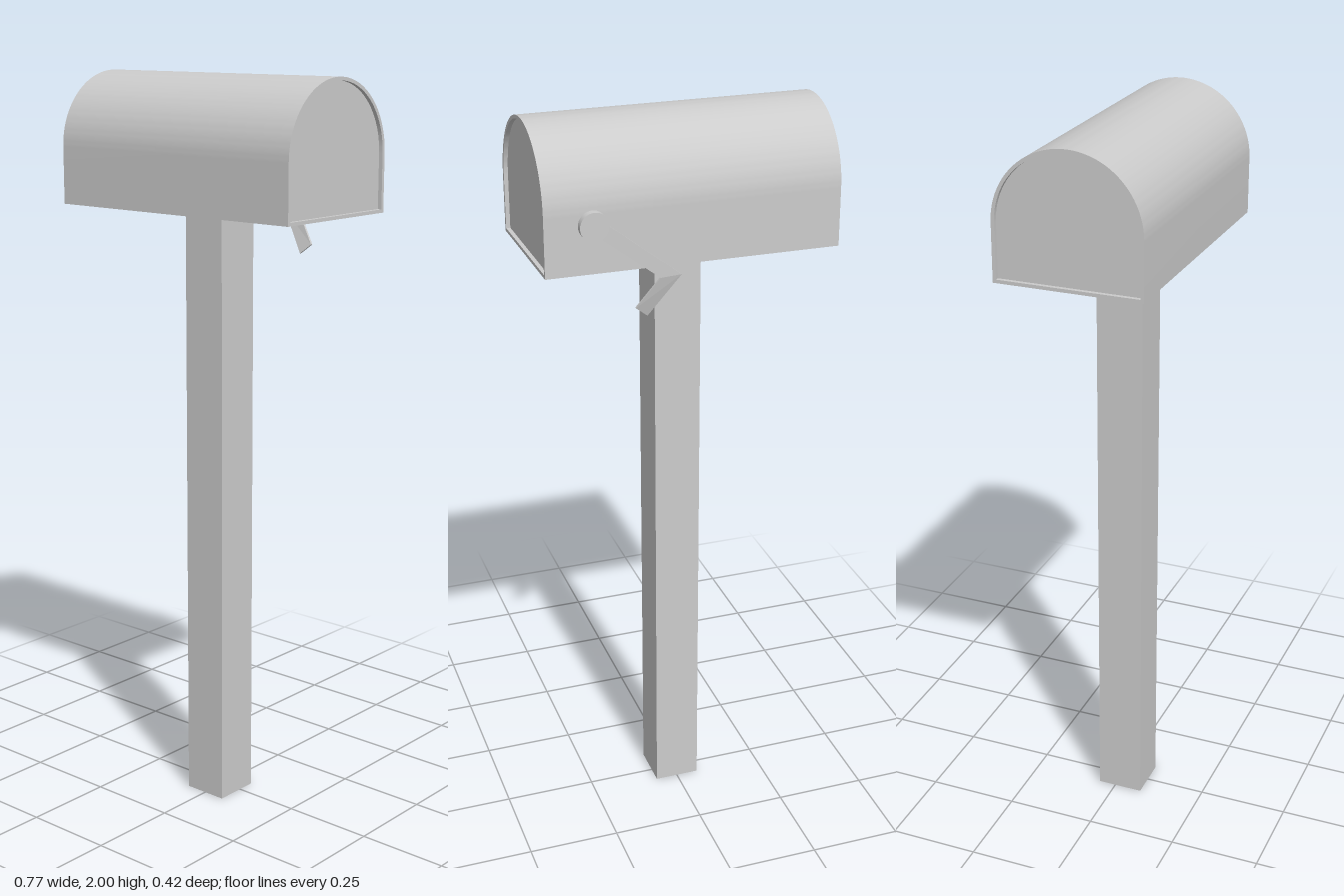
import * as THREE from 'three';
import { toCreasedNormals } from 'three/addons/utils/BufferGeometryUtils.js';

const material = new THREE.MeshStandardMaterial({ color: 0xcccccc });

function addMesh(group, name, geometry, x = 0, y = 0, z = 0) {
  const mesh = new THREE.Mesh(geometry, material);
  mesh.name = name;
  mesh.position.set(x, y, z);
  group.add(mesh);
  return mesh;
}

// Arched outline: flat floor, straight walls, semicircular roof
function arch(Type, radius, bottom, spring) {
  const path = new Type();
  path.moveTo(-radius, bottom);
  path.lineTo(radius, bottom);
  path.lineTo(radius, spring);
  path.absarc(0, spring, radius, 0, Math.PI, false);
  path.closePath();
  return path;
}

// Extrude an outline along x, centred, with a smooth roof and sharp edges
function extrudeAlongX(shape, length) {
  const geometry = new THREE.ExtrudeGeometry(shape, { depth: length, bevelEnabled: false, curveSegments: 40 });
  geometry.translate(0, 0, -length / 2);
  geometry.rotateY(Math.PI / 2);
  return toCreasedNormals(geometry, 0.6);
}

// Thin flat bar: corners [x, y] counter-clockwise, depth z given by a rule
function plate(corners, depthAt, thickness) {
  const shape = new THREE.Shape(corners.map(([x, y]) => new THREE.Vector2(x, y)));
  const geometry = new THREE.ExtrudeGeometry(shape, { depth: thickness, bevelEnabled: false });
  const p = geometry.attributes.position;
  for (let i = 0; i < p.count; i++) p.setZ(i, p.getZ(i) + depthAt(p.getX(i), p.getY(i)));
  geometry.computeVertexNormals();
  return geometry;
}

export function createModel() {
  const model = new THREE.Group();
  model.name = 'mailbox';
  const floor = 1.652, spring = 1.804, radius = 0.196, rim = 0.009, length = 0.77, boxZ = 0.012;

  // Square post
  addMesh(model, 'post', new THREE.BoxGeometry(0.125, floor, 0.128), 0, floor / 2, 0.015);

  // Arched shell with a thin rim at each end
  const shell = arch(THREE.Shape, radius, floor, spring);
  shell.holes.push(arch(THREE.Path, radius - rim, floor + rim, spring));
  addMesh(model, 'shell', extrudeAlongX(shell, length), 0, 0, boxZ);

  // End panels, set in slightly from the rim
  const panel = extrudeAlongX(arch(THREE.Shape, radius - rim, floor + rim, spring), 0.01);
  for (const side of [-1, 1]) {
    addMesh(model, side > 0 ? 'leftEndPanel' : 'rightEndPanel', panel, side * (length / 2 - 0.016), 0, boxZ);
  }

  // Signal flag on the back: pivot disc, slanted arm and bent tip
  const flag = new THREE.Group();
  flag.name = 'flag';
  model.add(flag);
  const pivot = new THREE.CylinderGeometry(0.037, 0.037, 0.02, 32).rotateX(Math.PI / 2);
  addMesh(flag, 'flagPivot', pivot, 0.263, 1.776, -0.193);

  const outer = [0.045, 1.635], inner = [0.098, 1.63];
  const elbowZ = -0.209, thickness = 0.006;
  addMesh(flag, 'flagArm', plate(
    [outer, inner, [0.274, 1.763], [0.25, 1.792]],
    (x) => elbowZ + (x - outer[0]) * 0.085, thickness));
  const elbowDepth = (x) => elbowZ + (x - outer[0]) * 0.085;
  addMesh(flag, 'flagTip', plate(
    [outer, [0.124, 1.524], [0.156, 1.55], inner],
    (x, y) => elbowDepth(Math.min(x, inner[0])) + Math.max(0, 1.63 - y) * 0.26, thickness));

  return model;
}
